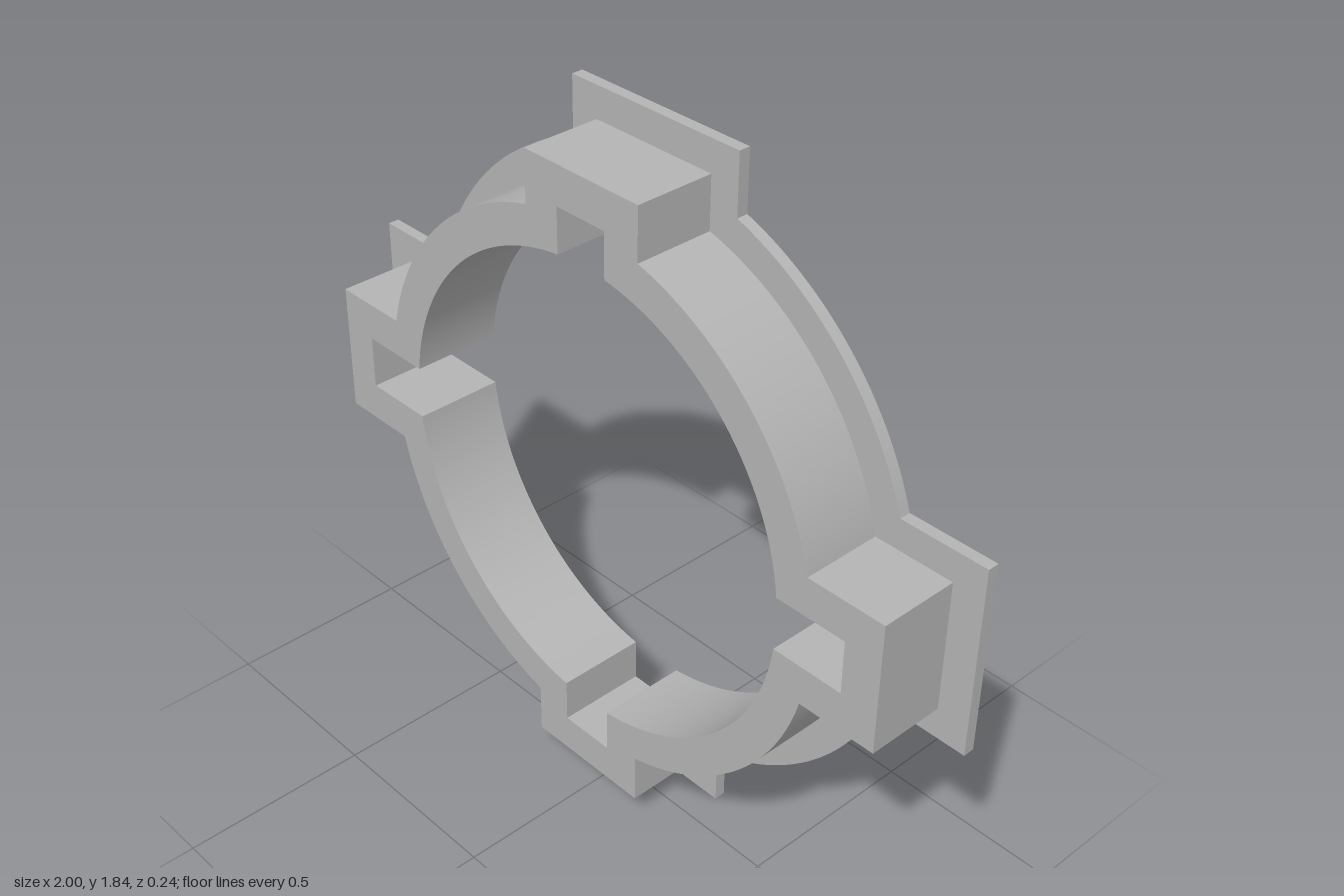
import * as THREE from 'three';
import { toCreasedNormals } from 'three/addons/utils/BufferGeometryUtils.js';

// Circle of radius r with four square tabs: vertical ones (half width vw, reach vr)
// and horizontal ones (half width hw, reach hr)
const outlines = {
  flange: { r: 0.805, vw: 0.26, vr: 0.918, hw: 0.255, hr: 1.0 },
  body: { r: 0.723, vw: 0.18, vr: 0.836, hw: 0.174, hr: 0.916 },
  lip: { r: 0.683, vw: 0.14, vr: 0.796, hw: 0.134, hr: 0.876 },
  bore: { r: 0.622, vw: 0.076, vr: 0.735, hw: 0.071, hr: 0.815 },
};

function trace(path, { r, vw, vr, hw, hr }) {
  const h = Math.asin(hw / r), v = Math.acos(vw / r);
  path.moveTo(hr, -hw);
  path.lineTo(hr, hw);
  path.absarc(0, 0, r, h, v, false);
  path.lineTo(vw, vr);
  path.lineTo(-vw, vr);
  path.absarc(0, 0, r, Math.PI - v, Math.PI - h, false);
  path.lineTo(-hr, hw);
  path.lineTo(-hr, -hw);
  path.absarc(0, 0, r, Math.PI + h, Math.PI + v, false);
  path.lineTo(-vw, -vr);
  path.lineTo(vw, -vr);
  path.absarc(0, 0, r, -v, -h, false);
  path.closePath();
  return path;
}

export function createModel() {
  const group = new THREE.Group();
  group.name = 'tabbedRing';
  const grey = new THREE.MeshStandardMaterial({ color: 0xb4b4b4 });
  grey.name = 'grey';

  // Ring between two outlines, from zBack to zFront
  function ring(name, outer, inner, zBack, zFront) {
    const shape = trace(new THREE.Shape(), outer);
    shape.holes.push(trace(new THREE.Path(), inner));
    const geometry = new THREE.ExtrudeGeometry(shape, {
      depth: zFront - zBack, bevelEnabled: false, curveSegments: 32,
    });
    const mesh = new THREE.Mesh(toCreasedNormals(geometry, 0.4), grey);
    mesh.name = name;
    mesh.position.set(0, 0.918, zBack);
    group.add(mesh);
  }

  ring('body', outlines.body, outlines.bore, -0.09, 0.12);
  // Thin back flange and inner lip, leaving a shallow groove between them
  ring('backFlange', outlines.flange, outlines.body, -0.12, -0.09);
  ring('backLip', outlines.lip, outlines.bore, -0.12, -0.09);
  return group;
}
